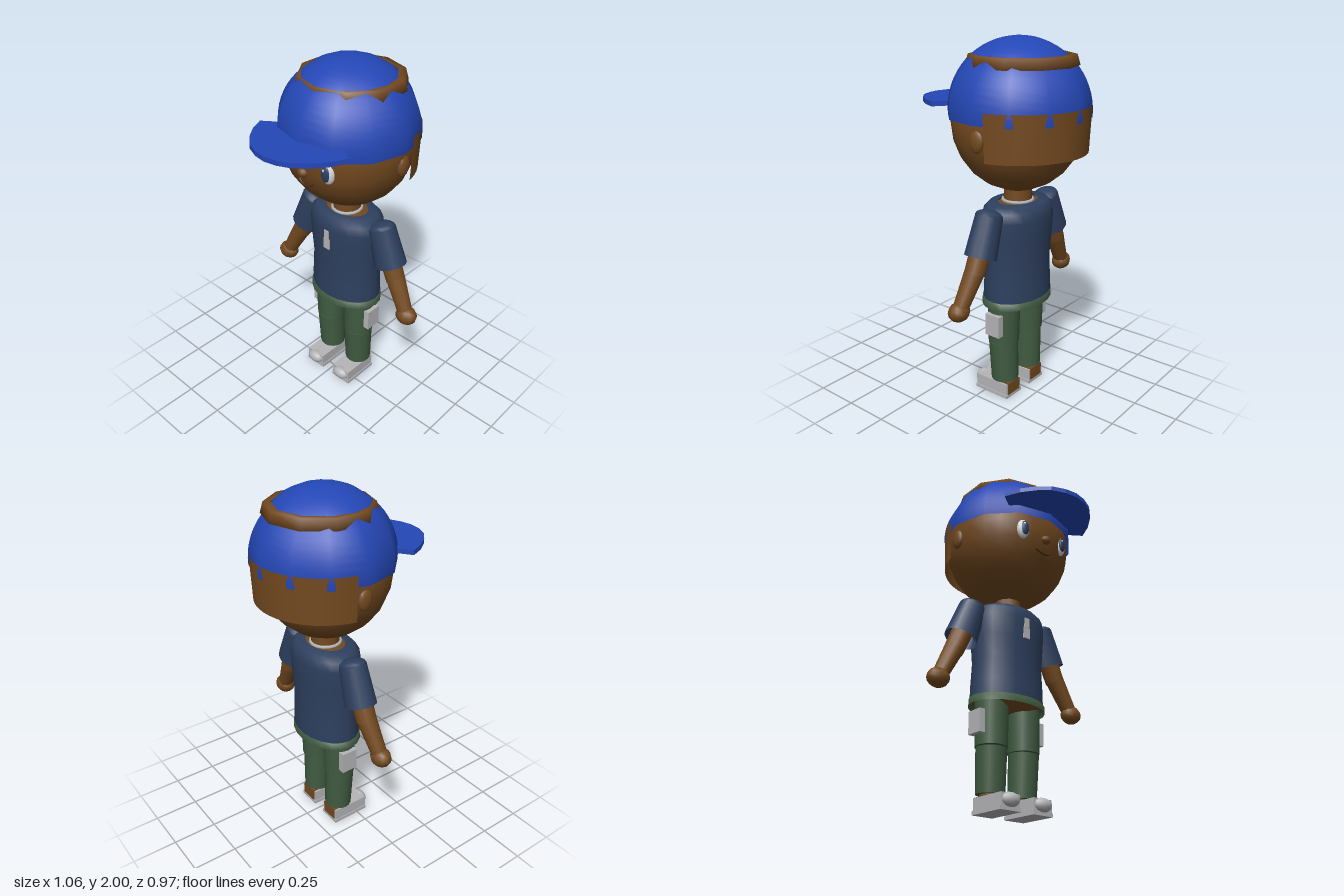
import * as THREE from 'three';

const flat = (name, color) => {
  const m = new THREE.MeshStandardMaterial({ color, side: THREE.DoubleSide });
  m.name = name;
  return m;
};

export function createModel() {
  const skin = flat('brown skin', 0x744a20);
  const blue = flat('cap blue', 0x2447b6);
  const navy = flat('shirt navy', 0x2e405f);
  const green = flat('trouser green', 0x405b41);
  const grey = flat('light grey', 0xb6b6b9);
  const white = flat('eye white', 0xd6d9dc);
  const iris = flat('iris blue', 0x2b3f66);
  const lip = flat('mouth brown', 0x4a2c12);

  const model = new THREE.Group();
  model.name = 'capped figure';
  const Z = -0.105; // body axis

  const add = (name, geo, mat, x = 0, y = 0, z = 0, sx = 1, sy = 1, sz = 1) => {
    const m = new THREE.Mesh(geo, mat);
    m.name = name;
    m.position.set(x, y, z);
    m.scale.set(sx, sy, sz);
    model.add(m);
    return m;
  };
  const box = (name, mat, w, h, d, x, y, z) => add(name, new THREE.BoxGeometry(w, h, d), mat, x, y, z);
  const ball = (name, mat, x, y, z, rx, ry, rz, n = 16) =>
    add(name, new THREE.SphereGeometry(1, n, Math.max(8, n / 2)), mat, x, y, z, rx, ry, rz);
  const lathe = (pts, n) => new THREE.LatheGeometry(pts.map(p => new THREE.Vector2(p[0], p[1])), n);
  // tapered round limb from point a to point b
  const limb = (name, mat, a, b, ra, rb, n = 12, open = false) => {
    const A = new THREE.Vector3(...a), B = new THREE.Vector3(...b);
    const d = A.clone().sub(B);
    const mid = A.clone().add(B).multiplyScalar(0.5);
    const m = add(name, new THREE.CylinderGeometry(ra, rb, d.length(), n, 1, open), mat, mid.x, mid.y, mid.z);
    m.quaternion.setFromUnitVectors(new THREE.Vector3(0, 1, 0), d.normalize());
    return m;
  };

  // Head and neck
  ball('head', skin, 0, 1.57, Z, 0.365, 0.37, 0.348, 24);
  limb('neck', skin, [0, 1.25, -0.1], [0, 1.11, -0.1], 0.075, 0.078);
  ball('nose', skin, 0, 1.487, 0.232, 0.03, 0.026, 0.027, 12);
  const smile = new THREE.QuadraticBezierCurve3(
    new THREE.Vector3(-0.05, 1.425, 0.207), new THREE.Vector3(0, 1.385, 0.225), new THREE.Vector3(0.05, 1.425, 0.207));
  add('mouth', new THREE.TubeGeometry(smile, 10, 0.006, 6), lip);

  // Cap: dome and peak
  add('capDome', new THREE.SphereGeometry(0.38, 12, 16, 0, Math.PI * 2, 0, 1.637), blue, 0, 1.62, Z);
  const edge = [[0.235, 0.185], [0.302, 0.232], [0.262, 0.315], [0.205, 0.388], [0.145, 0.44], [0.07, 0.472], [0, 0.483]];
  const outline = [...edge, ...edge.slice(0, -1).reverse().map(p => [-p[0], p[1]])];
  const peak = new THREE.ExtrudeGeometry(
    new THREE.Shape(outline.map(p => new THREE.Vector2(p[0], p[1]))), { depth: 0.026, bevelEnabled: false });
  add('capPeak', peak, blue, 0, 1.671, 0).rotation.x = Math.PI / 2;

  // Hair: band around the crown and curtain at the back
  add('hairCrown', lathe([[0.25, 1.85], [0.293, 1.855], [0.277, 1.91], [0.24, 1.91]], 10), skin, 0, 0, -0.124);
  add('hairBack', new THREE.CylinderGeometry(0.377, 0.367, 0.245, 20, 1, true, Math.PI * 0.556, Math.PI * 0.888),
    skin, 0, 1.5375, Z);

  // Shirt, collar and badge
  add('shirt', lathe([[0.222, 0.6], [0.221, 0.68], [0.214, 0.82], [0.226, 0.95], [0.232, 1.06], [0.222, 1.11],
    [0.19, 1.138], [0.13, 1.142]], 20), navy, 0, 0, -0.102, 1, 1, 0.73);
  add('upperChest', lathe([[0.19, 1.1], [0.14, 1.128], [0, 1.132]], 20), skin, 0, 0, -0.102, 1, 1, 0.73);
  const collar = add('collar', new THREE.TorusGeometry(0.082, 0.009, 6, 16), grey, 0, 1.142, -0.1);
  collar.rotation.x = Math.PI / 2;
  box('badgeTop', grey, 0.032, 0.06, 0.018, 0, 1.03, 0.062);
  box('badgeBottom', grey, 0.042, 0.065, 0.018, 0, 0.972, 0.06);

  // Hips and waistband
  add('waistband', lathe([[0.231, 0.565], [0.229, 0.605], [0.2, 0.607]], 20), green, 0, 0, -0.1, 1, 1, 0.73);
  add('hips', lathe([[0, 0.55], [0.15, 0.56], [0.215, 0.59]], 20), skin, 0, 0, -0.1, 1, 1, 0.73);

  for (const s of [1, -1]) {
    const side = s > 0 ? 'left' : 'right';

    // Face
    ball(side + 'Eye', white, s * 0.142, 1.52, 0.198, 0.038, 0.061, 0.026).rotation.y = s * 0.3;
    ball(side + 'Iris', iris, s * 0.141, 1.52, 0.213, 0.027, 0.045, 0.016).rotation.y = s * 0.3;
    ball(side + 'EyeGlint', white, s * 0.141 - 0.007, 1.541, 0.224, 0.007, 0.009, 0.007, 8);
    ball(side + 'Ear', skin, s * 0.355, 1.515, -0.117, 0.022, 0.06, 0.043, 12);

    // Arm
    limb(side + 'Sleeve', navy, [s * 0.247, 1.105, Z], [s * 0.32, 0.9, Z], 0.08, 0.094, 14, true).scale.z = 0.9;
    const dome = add(side + 'SleeveTop', new THREE.SphereGeometry(0.08, 14, 4, 0, Math.PI * 2, 0, Math.PI / 2),
      navy, s * 0.247, 1.105, Z, 1, 0.45, 0.9);
    dome.rotation.z = s * 0.34;
    limb(side + 'UpperArm', skin, [s * 0.27, 1.04, Z], [s * 0.365, 0.82, -0.1], 0.06, 0.055);
    limb(side + 'Forearm', skin, [s * 0.36, 0.835, -0.1], [s * 0.455, 0.655, -0.082], 0.054, 0.042);
    ball(side + 'Hand', skin, s * 0.466, 0.636, -0.08, 0.064, 0.053, 0.054, 10);

    // Leg
    limb(side + 'Thigh', green, [s * 0.11, 0.585, -0.093], [s * 0.11, 0.342, -0.092], 0.092, 0.087, 16);
    limb(side + 'Shin', green, [s * 0.11, 0.338, -0.09], [s * 0.106, 0.1, -0.098], 0.083, 0.077, 16);
    box(side + 'Pocket', grey, 0.038, 0.125, 0.095, s * 0.202, 0.462, -0.097);

    // Foot
    limb(side + 'Ankle', skin, [s * 0.106, 0.12, -0.1], [s * 0.106, 0.07, -0.1], 0.055, 0.055);
    box(side + 'Heel', skin, 0.1, 0.07, 0.1, s * 0.106, 0.055, -0.113);
    box(side + 'Shoe', grey, 0.122, 0.066, 0.22, s * 0.106, 0.052, -0.048);
    box(side + 'Sole', grey, 0.132, 0.02, 0.226, s * 0.106, 0.01, -0.049);
    ball(side + 'Toe', grey, s * 0.106, 0.053, 0.06, 0.055, 0.037, 0.036, 14);
  }
  return model;
}
